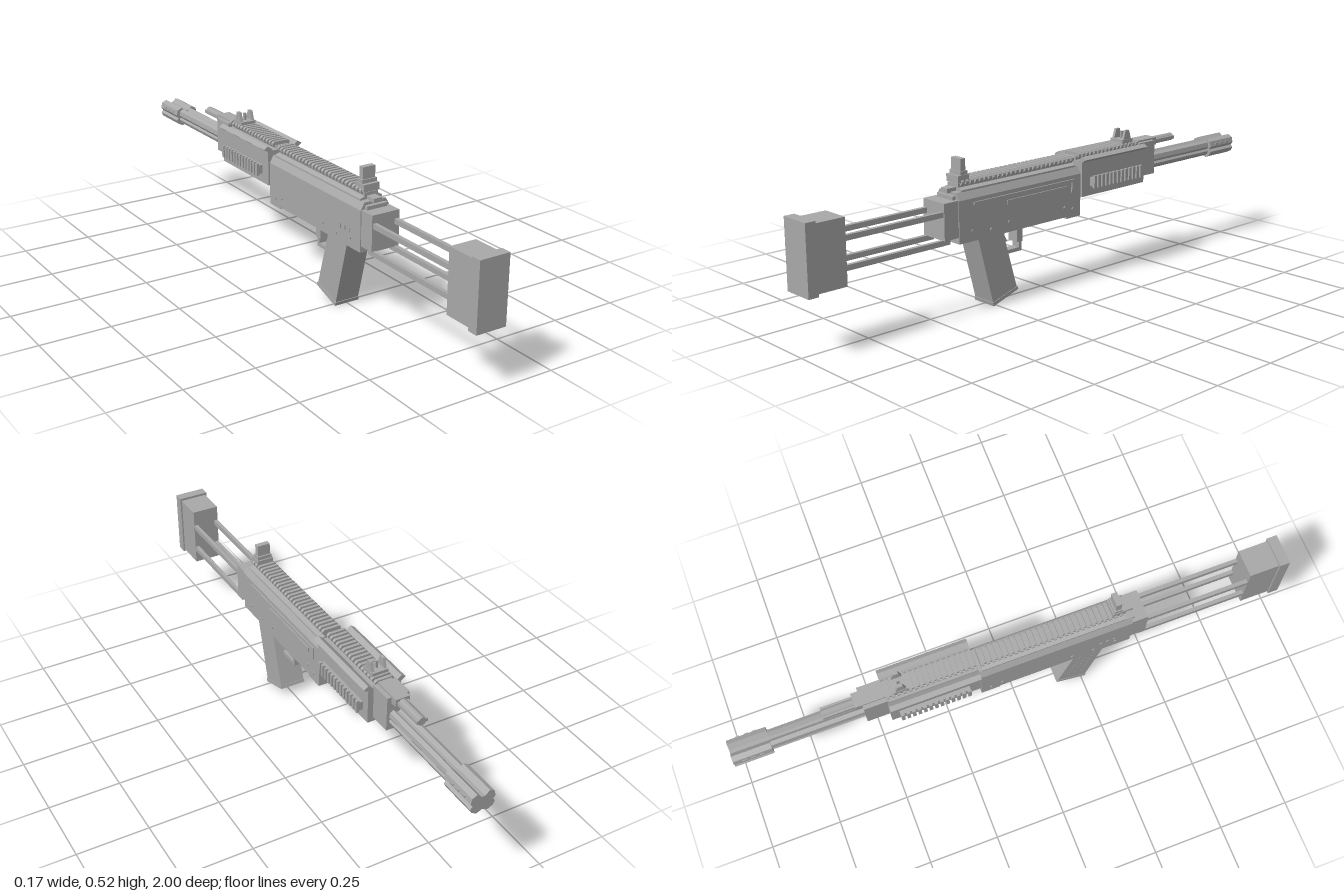
import * as THREE from 'three';

export function createModel() {
  const model = new THREE.Group();
  const gunGrey = new THREE.MeshStandardMaterial({ color: 0xa8a8a8 });
  gunGrey.name = 'grey metal';

  const add = (name, geo, parent = model) => {
    const m = new THREE.Mesh(geo, gunGrey);
    m.name = name;
    parent.add(m);
    return m;
  };
  const group = (name) => {
    const g = new THREE.Group();
    g.name = name;
    model.add(g);
    return g;
  };
  // Box given by its extents on each axis
  const box = (name, x0, x1, y0, y1, z0, z1, parent) => {
    const m = add(name, new THREE.BoxGeometry(x1 - x0, y1 - y0, z1 - z0), parent);
    m.position.set((x0 + x1) / 2, (y0 + y1) / 2, (z0 + z1) / 2);
    return m;
  };
  const shapeOf = (pts) => new THREE.Shape(pts.map(([a, b]) => new THREE.Vector2(a, b)));
  // Cross-section in x, y drawn along z
  const alongZ = (name, pts, z0, z1, parent) => add(name,
    new THREE.ExtrudeGeometry(shapeOf(pts), { depth: z1 - z0, bevelEnabled: false }).translate(0, 0, z0), parent);
  // Side profile in z, y drawn along x
  const alongX = (name, shape, x0, x1, parent) => add(name,
    new THREE.ExtrudeGeometry(shape, { depth: x1 - x0, bevelEnabled: false })
      .rotateY(-Math.PI / 2).translate(x1, 0, 0), parent);
  // Right half of a section completed by its mirror image
  const mirrored = (half) => [...half, ...half.slice().reverse().map(([x, y]) => [-x, y])];

  // Shoulder stock on four rods
  const stock = group('stock');
  box('stockBlock', -0.05, 0.05, 0.207, 0.427, 0.855, 0.965, stock);
  box('buttPlate', -0.056, 0.056, 0.2, 0.436, 0.963, 1, stock);
  for (const s of [-1, 1]) for (const y of [0.36, 0.265])
    box('stockRod', s * 0.042 - 0.007, s * 0.042 + 0.007, y - 0.009, y + 0.009, 0.45, 0.86, stock);

  // Receiver with bevelled top edges
  const receiver = group('receiver');
  alongZ('receiverBody', mirrored([[0.056, 0.25], [0.056, 0.395], [0.042, 0.42]]), -0.137, 0.417, receiver);
  box('rearBlock', -0.053, 0.053, 0.272, 0.397, 0.415, 0.476, receiver);
  box('frontLug', -0.056, 0.056, 0.243, 0.26, -0.137, -0.07, receiver);
  box('chargingHandle', -0.016, 0.016, 0.417, 0.432, 0.39, 0.432, receiver);
  box('rearStep', -0.04, 0.04, 0.395, 0.41, 0.41, 0.43, receiver);

  // Side strips and pins
  box('slideStrip', 0.055, 0.061, 0.372, 0.382, -0.095, 0.355, receiver);
  box('slideCover', 0.055, 0.06, 0.345, 0.362, -0.07, 0.21, receiver);
  box('slideStop', 0.055, 0.061, 0.335, 0.382, -0.105, -0.092, receiver);
  for (const s of [-1, 1]) for (const [z, y] of [[0.36, 0.285], [0.28, 0.275], [0.2, 0.285], [-0.06, 0.285], [-0.1, 0.275]])
    add('pin', new THREE.CylinderGeometry(0.006, 0.006, 0.005, 8).rotateZ(Math.PI / 2), receiver)
      .position.set(s * 0.057, y, z);
  for (const z of [0.3, 0.325, 0.35])
    box('selectorMark', -0.059, -0.055, 0.3, 0.316, z, z + 0.007, receiver);

  // Forend with splayed upper flanges
  const forend = group('forend');
  box('forendBody', -0.061, 0.061, 0.31, 0.437, -0.46, -0.14, forend);
  for (const s of [-1, 1]) {
    const flange = [[0.04, 0.437], [0.056, 0.43], [0.078, 0.445], [0.062, 0.455], [0.046, 0.443]]
      .map(([x, y]) => [s * x, y]);
    alongZ('flange', flange, -0.46, -0.14, forend);
    // Toothed side rails
    box('sideRail', s * 0.067 - 0.008, s * 0.067 + 0.008, 0.344, 0.376, -0.43, -0.18, forend);
    for (let i = 0; i < 13; i++) {
      const z = -0.43 + i * 0.0198;
      box('sideRailTooth', s * 0.079 - 0.005, s * 0.079 + 0.005, 0.338, 0.383, z, z + 0.012, forend);
    }
  }
  box('gasBlock', -0.041, 0.041, 0.327, 0.452, -0.54, -0.455, forend);

  // Toothed top rails
  const rail = (name, z0, z1, y) => {
    const g = group(name);
    alongZ('railBase', mirrored([[0.043, y], [0.043, y + 0.006], [0.026, y + 0.012], [0.026, y + 0.024]]), z0, z1, g);
    const n = Math.round((z1 - z0) / 0.02);
    const step = (z1 - z0) / n;
    for (let i = 0; i < n; i++)
      alongZ('railTooth', mirrored([[0.026, y + 0.016], [0.035, y + 0.024], [0.035, y + 0.031], [0.028, y + 0.037]]),
        z0 + i * step, z0 + i * step + 0.011, g);
  };
  rail('receiverRail', -0.125, 0.395, 0.419);
  rail('forendRail', -0.458, -0.142, 0.426);

  // Rear sight
  const rearSight = group('rearSight');
  box('sightBase', -0.03, 0.03, 0.445, 0.47, 0.35, 0.397, rearSight);
  box('sightStep', -0.028, 0.028, 0.468, 0.483, 0.355, 0.385, rearSight);
  box('sightBlade', -0.024, 0.024, 0.48, 0.524, 0.361, 0.381, rearSight);

  // Front sight with two ears and a post
  const frontSight = group('frontSight');
  box('sightBase', -0.03, 0.03, 0.452, 0.474, -0.432, -0.377, frontSight);
  const ear = shapeOf([[-0.425, 0.472], [-0.385, 0.472], [-0.396, 0.507], [-0.414, 0.507]]);
  alongX('sightEar', ear, -0.028, -0.018, frontSight);
  alongX('sightEar', ear, 0.018, 0.028, frontSight);
  box('sightPost', -0.004, 0.004, 0.47, 0.5, -0.41, -0.4, frontSight);

  // Gas tube above the barrel
  const gasTube = group('gasTube');
  box('tubeCollar', -0.026, 0.026, 0.43, 0.458, -0.565, -0.455, gasTube);
  add('tube', new THREE.CylinderGeometry(0.015, 0.015, 0.14, 8).rotateX(Math.PI / 2), gasTube)
    .position.set(0, 0.441, -0.605);
  add('tubeRib', new THREE.BoxGeometry(0.04, 0.012, 0.12), gasTube).position.set(0, 0.441, -0.615);

  // Grooved barrel and muzzle share one cross-section
  const section = (w, h) => mirrored([[0, -0.75], [0.45, -1], [0.85, -0.75], [1, -0.35], [0.82, -0.1],
    [1, 0.2], [0.9, 0.75], [0.5, 1], [0.15, 0.6]]).slice(0, -1).map(([x, y]) => [x * w, 0.37 + y * h]);
  const barrel = group('barrel');
  alongZ('barrelTube', section(0.032, 0.03), -0.87, -0.53, barrel);
  alongZ('muzzle', section(0.044, 0.036), -1, -0.865, barrel);
  for (const s of [-1, 1]) for (const z of [-0.97, -0.94, -0.91])
    box('muzzlePort', s * 0.042 - 0.003, s * 0.042 + 0.003, 0.38, 0.388, z, z + 0.015, barrel);

  // Slanted grip: solid core with perforated side plates
  const grip = group('grip');
  const top = [[0.33, 0.255], [0.22, 0.255]];
  const low = [[0.263, 0], [0.155, 0.035]];
  const at = (u, v) => [0, 1].map((k) =>
    (top[0][k] * (1 - u) + top[1][k] * u) * (1 - v) + (low[0][k] * (1 - u) + low[1][k] * u) * v);
  const quad = (u0, u1, v0, v1) => [at(u0, v0), at(u0, v1), at(u1, v1), at(u1, v0)];
  alongX('gripCore', shapeOf(quad(0, 1, 0, 1)), -0.042, 0.042, grip);
  alongX('gripBase', shapeOf(quad(-0.02, 1.02, 0.95, 1)), -0.048, 0.048, grip);
  const plate = shapeOf(quad(0, 1, 0, 0.95));
  for (let r = 0; r < 8; r++) for (let c = 0; c < 3; c++) {
    const u = 0.2 + c * 0.23, v = 0.13 + r * 0.095;
    plate.holes.push(new THREE.Path(quad(u, u + 0.13, v, v + 0.055).map(([a, b]) => new THREE.Vector2(a, b))));
  }
  alongX('gripPlate', plate, 0.042, 0.046, grip);
  alongX('gripPlate', plate, -0.046, -0.042, grip);

  // Trigger and guard
  const trigger = group('trigger');
  alongX('triggerBlade', shapeOf([[0.195, 0.255], [0.172, 0.255], [0.18, 0.225], [0.168, 0.202],
    [0.18, 0.198], [0.194, 0.222]]), -0.009, 0.009, trigger);
  box('guardBar', -0.016, 0.016, 0.158, 0.171, 0.108, 0.215, trigger);
  box('guardPost', -0.016, 0.016, 0.165, 0.2, 0.108, 0.12, trigger);
  box('releaseBlock', -0.022, 0.022, 0.193, 0.255, 0.108, 0.134, trigger);

  return model;
}
